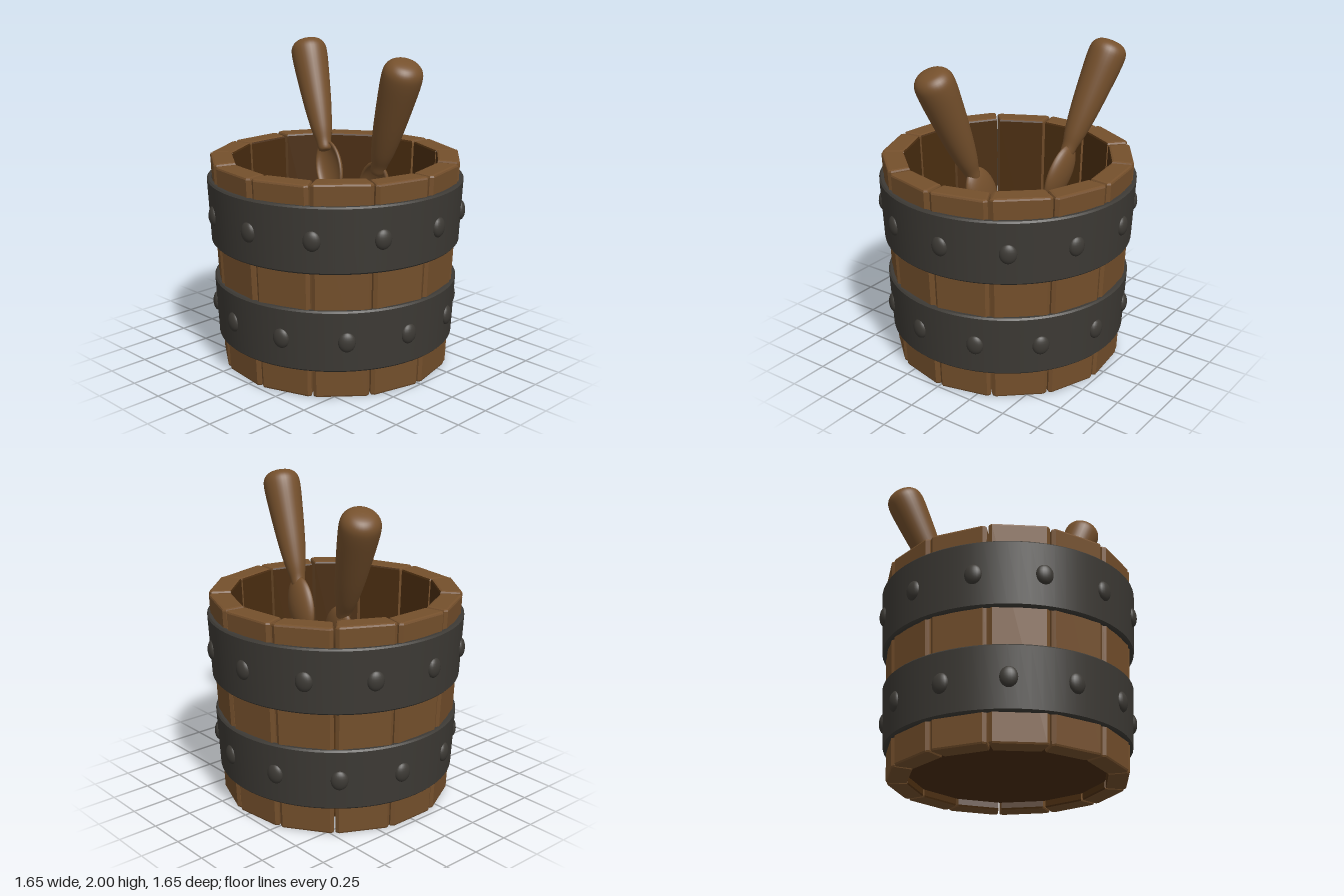
import * as THREE from 'three';

const STAVES = 13, HEIGHT = 1.33;
const STEP = (Math.PI * 2) / STAVES;
const GAP_ANGLE = THREE.MathUtils.degToRad(7);

const wood = new THREE.MeshStandardMaterial({ color: 0x75502c });
wood.name = 'wood';
const darkWood = new THREE.MeshStandardMaterial({ color: 0x4a2d10 });
darkWood.name = 'dark wood';
const iron = new THREE.MeshStandardMaterial({ color: 0x3d3a35 });
iron.name = 'iron';

const points = list => list.map(([x, y]) => new THREE.Vector2(x, y));

// Wedge-shaped plank with chamfered edges, flaring outwards to the top
function staveGeometry() {
  const inner = 0.59, outer = 0.718, c = 0.018, bevel = 0.014;
  const half = r => r * Math.tan(STEP / 2) - 0.009;
  const wi = half(inner), wo = half(outer);
  const shape = new THREE.Shape(points([
    [-wi, inner], [wi, inner], [wo, outer - c], [wo - c, outer], [c - wo, outer], [-wo, outer - c],
  ]));
  const geo = new THREE.ExtrudeGeometry(shape, {
    depth: HEIGHT - bevel * 2, bevelEnabled: true, bevelSegments: 2,
    bevelSize: bevel, bevelThickness: bevel, bevelOffset: -bevel,
  });
  geo.translate(0, 0, bevel).rotateX(-Math.PI / 2);
  const p = geo.attributes.position;
  for (let i = 0; i < p.count; i++) {
    const s = 1 + 0.083 * p.getY(i) / HEIGHT;
    p.setXYZ(i, p.getX(i) * s, p.getY(i), p.getZ(i) * s);
  }
  geo.computeVertexNormals();
  // Faces towards the inside of the bucket take the dark material
  geo.clearGroups();
  const n = geo.attributes.normal;
  for (let i = 0; i < p.count; i += 3) geo.addGroup(i, 3, n.getZ(i) > 0.8 ? 1 : 0);
  return geo;
}

// Iron hoop with softened edges and a ring of domed rivets
function hoop(name, y0, y1, r0, r1, rivetY, rivetOffset) {
  const group = new THREE.Group();
  group.name = name;
  const t = 0.03, b = 0.01;
  const profile = points([
    [r0 - t, y0], [r0 - b, y0], [r0, y0 + b], [r1, y1 - b], [r1 - b, y1], [r1 - t, y1], [r0 - t, y0],
  ]);
  // Separate lathe strips keep the edges crisp
  for (let i = 0; i < profile.length - 1; i++) {
    const strip = new THREE.Mesh(new THREE.LatheGeometry([profile[i], profile[i + 1]], 72), iron);
    strip.name = name + 'Strip';
    group.add(strip);
  }
  const rivetGeo = new THREE.SphereGeometry(0.063, 20, 12).scale(0.85, 1, 0.5);
  const r = THREE.MathUtils.mapLinear(rivetY, y0, y1, r0, r1) - 0.005;
  for (let i = 0; i < 12; i++) {
    const a = THREE.MathUtils.degToRad(rivetOffset + i * 30);
    const rivet = new THREE.Mesh(rivetGeo, iron);
    rivet.name = 'rivet';
    rivet.position.set(Math.sin(a) * r, rivetY, Math.cos(a) * r);
    rivet.rotation.y = a;
    group.add(rivet);
  }
  return group;
}

// Wooden spoon: fat rounded handle above a shallow oval bowl facing the front
function spoon(name, centre, direction) {
  const group = new THREE.Group();
  group.name = name;
  const handle = new THREE.Mesh(new THREE.LatheGeometry(new THREE.SplineCurve(points([
    [0.001, 0.12], [0.04, 0.13], [0.05, 0.19], [0.07, 0.28], [0.092, 0.44], [0.112, 0.66],
    [0.12, 0.79], [0.113, 0.85], [0.085, 0.885], [0.045, 0.9], [0, 0.904],
  ])).getPoints(40), 32), wood);
  handle.name = 'spoonHandle';

  const profile = [];
  for (let i = 0; i <= 10; i++) {
    const a = (i / 10) * Math.PI / 2;
    profile.push(new THREE.Vector2(0.125 * Math.sin(a), -0.065 * Math.cos(a)));
  }
  for (let i = 10; i >= 0; i--) {
    const a = (i / 10) * Math.PI / 2;
    profile.push(new THREE.Vector2(0.112 * Math.sin(a), 0.004 - 0.054 * Math.cos(a)));
  }
  const bowlGeo = new THREE.LatheGeometry(profile, 36).rotateX(Math.PI / 2).scale(1, 1.56, 1);
  const bowl = new THREE.Mesh(bowlGeo, wood);
  bowl.name = 'spoonBowl';
  group.add(handle, bowl);

  const y = new THREE.Vector3(...direction).normalize();
  const x = new THREE.Vector3().crossVectors(y, new THREE.Vector3(0, 0, 1)).normalize();
  const z = new THREE.Vector3().crossVectors(x, y);
  group.quaternion.setFromRotationMatrix(new THREE.Matrix4().makeBasis(x, y, z));
  group.position.set(...centre);
  return group;
}

export function createModel() {
  const model = new THREE.Group();
  model.name = 'bucketWithSpoons';

  // Ring of staves
  const staves = new THREE.Group();
  staves.name = 'staves';
  const geo = staveGeometry();
  for (let i = 0; i < STAVES; i++) {
    const stave = new THREE.Mesh(geo, [wood, darkWood]);
    stave.name = 'stave';
    stave.rotation.y = -(GAP_ANGLE + STEP * (i + 0.5));
    stave.scale.y = 1 + 0.006 * (i % 3 === 1);
    staves.add(stave);
  }
  model.add(staves);

  // Bucket floor
  const floor = new THREE.Mesh(
    new THREE.CylinderGeometry(0.607, 0.607, 0.03, STAVES, 1, false, Math.PI - GAP_ANGLE), darkWood);
  floor.name = 'floor';
  floor.position.y = 0.065;
  model.add(floor);

  // Hoops
  model.add(hoop('upperHoop', 0.8, 1.21, 0.79, 0.81, 1.005, 5.7));
  model.add(hoop('lowerHoop', 0.18, 0.57, 0.757, 0.777, 0.375, 20.6));

  // Spoons
  model.add(spoon('rightSpoon', [-0.275, 1.155, -0.205], [-0.26, 0.59, -0.11]));
  model.add(spoon('leftSpoon', [0.31, 1.155, -0.02], [0.245, 0.6, 0.07]));
  return model;
}
